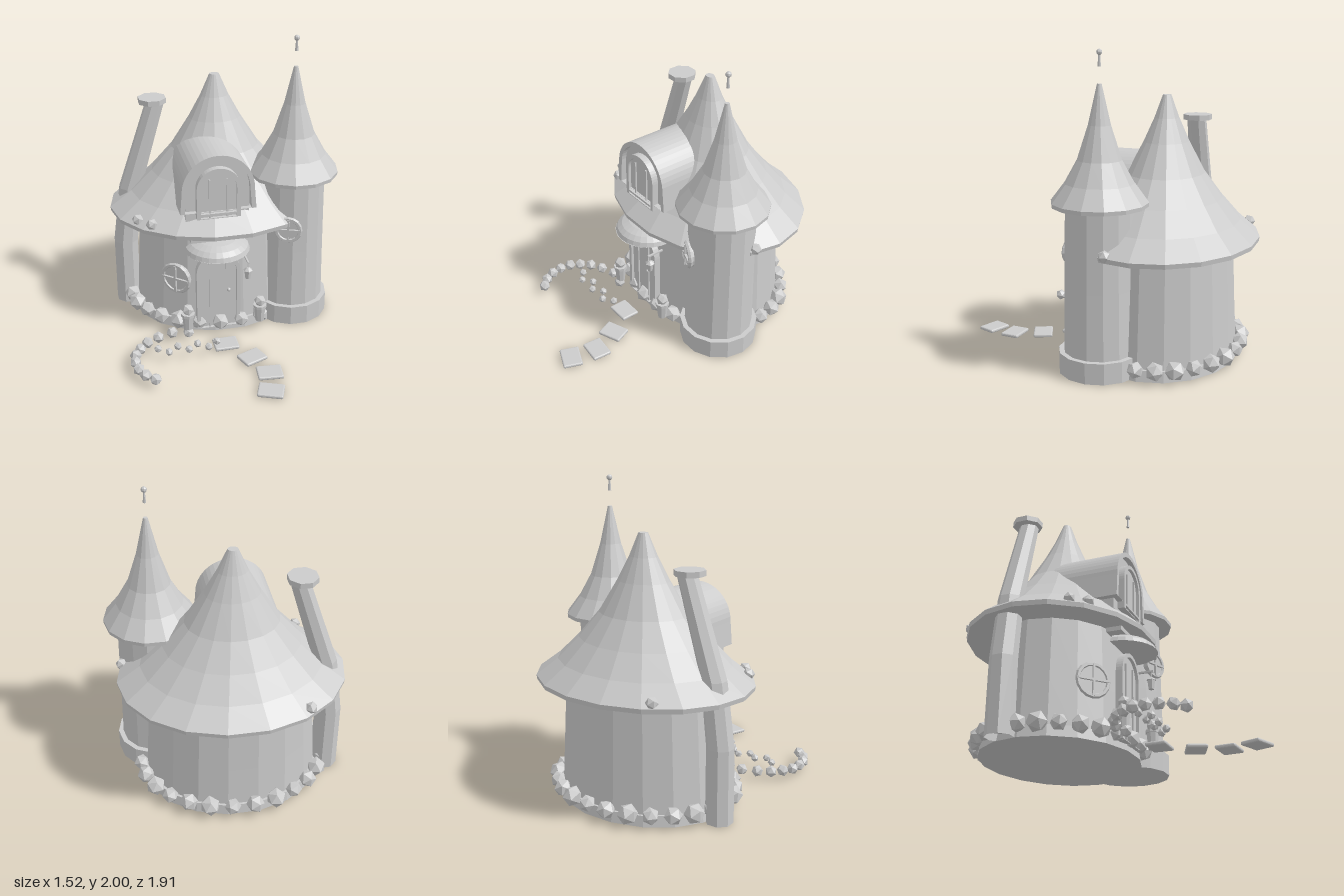
import * as THREE from 'three';
import { RoundedBoxGeometry } from 'three/addons/geometries/RoundedBoxGeometry.js';

const mat = new THREE.MeshStandardMaterial({ color: 0xcccccc, flatShading: true, side: THREE.DoubleSide });
const V = (x, y) => new THREE.Vector2(x, y);

function add(parent, name, geo, x = 0, y = 0, z = 0, ry = 0) {
  const m = new THREE.Mesh(geo, mat);
  m.name = name;
  m.position.set(x, y, z);
  m.rotation.y = ry;
  parent.add(m);
  return m;
}
const group = (parent, name, x = 0, y = 0, z = 0, ry = 0) => {
  const g = new THREE.Group();
  g.name = name;
  g.position.set(x, y, z);
  g.rotation.y = ry;
  parent.add(g);
  return g;
};
const box = (w, h, d) => new THREE.BoxGeometry(w, h, d);

// Faceted solid of revolution with a corner on each side
const turned = (pts, n) => new THREE.LatheGeometry(pts.map(p => V(...p)), n, Math.PI / n);

// Round-topped outline: half width, bottom, height where the curve starts
function arch(path, w, bottom, spring, flare = 0) {
  path.moveTo(-w - flare, bottom);
  path.lineTo(w + flare, bottom);
  path.lineTo(w, spring);
  path.absarc(0, spring, w, 0, Math.PI, false);
  path.closePath();
  return path;
}
const extrude = (shape, depth) =>
  new THREE.ExtrudeGeometry(shape, { depth, bevelEnabled: false, curveSegments: 12 });

// Arched leaf with a raised frame and two upright bars
function archedOpening(parent, name, w, bottom, spring, x, z) {
  const g = group(parent, name, x, 0, z);
  const frame = arch(new THREE.Shape(), w, bottom, spring);
  frame.holes.push(arch(new THREE.Path(), w - 0.025, bottom + 0.005, spring));
  add(g, name + 'Frame', extrude(frame, 0.045));
  add(g, name + 'Leaf', extrude(arch(new THREE.Shape(), w - 0.02, bottom, spring), 0.025));
  const h = spring + w * 0.6 - bottom - 0.02;
  for (const s of [-1, 1]) add(g, name + 'Bar', box(0.01, h, 0.012), s * 0.058, bottom + h / 2, 0.03);
  return g;
}

// Round window with a ring and crossed bars
function roundWindow(parent, name, x, y, z, ry, r) {
  const g = group(parent, name, x, y, z, ry);
  add(g, name + 'Ring', new THREE.TorusGeometry(r - 0.015, 0.016, 6, 16));
  const disc = add(g, name + 'Pane', new THREE.CylinderGeometry(r - 0.01, r - 0.01, 0.03, 16), 0, 0, -0.01);
  disc.rotation.x = Math.PI / 2;
  add(g, name + 'Bar', box(0.014, 2 * r - 0.03, 0.02), 0, 0, 0.01);
  add(g, name + 'Bar', box(2 * r - 0.03, 0.014, 0.02), 0, 0, 0.01);
}

// Bent octagonal stack from cross-sections [x, y, radius]
function stackGeometry(rings, n) {
  const pos = [], idx = [];
  rings.forEach(([x, y, r], j) => {
    for (let i = 0; i < n; i++) {
      const a = ((i + 0.5) / n) * Math.PI * 2;
      pos.push(x + r * Math.sin(a), y, r * Math.cos(a));
      if (j === 0) continue;
      const k = (i + 1) % n, b = (j - 1) * n, t = j * n;
      idx.push(b + i, b + k, t + k, b + i, t + k, t + i);
    }
  });
  const g = new THREE.BufferGeometry();
  g.setAttribute('position', new THREE.Float32BufferAttribute(pos, 3));
  g.setIndex(idx);
  g.computeVertexNormals();
  return g;
}

export function createModel() {
  const root = new THREE.Group();
  root.name = 'cottage';
  const bush = (parent, name, x, y, z, r, ry = 0) =>
    add(parent, name, new THREE.IcosahedronGeometry(r, 0), x, y, z, ry);

  // Oval house body and flared roof
  const house = group(root, 'house', -0.025, 0, -0.36);
  house.scale.z = 0.822;
  add(house, 'plinth', turned([[0, 0], [0.6, 0], [0.59, 0.07], [0, 0.07]], 18));
  add(house, 'walls', turned([[0.575, 0.02], [0.555, 0.35], [0.53, 0.78]], 18));
  add(house, 'mainRoof', turned([[0, 0.76], [0.73, 0.76], [0.735, 0.79], [0.585, 0.9], [0.44, 1.04],
    [0.3, 1.2], [0.175, 1.4], [0.095, 1.55], [0.032, 1.695], [0, 1.695]], 18));

  // Round tower with its pointed roof
  const tower = group(root, 'tower', 0.455, 0, -0.085);
  add(tower, 'towerBase', turned([[0, 0], [0.262, 0], [0.262, 0.135], [0, 0.135]], 14));
  add(tower, 'towerWall', turned([[0.23, 0.1], [0.222, 0.55], [0.215, 1.08]], 14));
  add(tower, 'towerRoof', turned([[0, 1.06], [0.3, 1.06], [0.302, 1.085], [0.215, 1.2], [0.138, 1.34],
    [0.07, 1.55], [0.014, 1.795], [0, 1.795]], 14));
  add(tower, 'finialStem', new THREE.CylinderGeometry(0.006, 0.011, 0.08, 6), 0, 1.935, 0);
  add(tower, 'finialBall', new THREE.SphereGeometry(0.019, 8, 6), 0, 1.98, 0);
  roundWindow(tower, 'towerWindow', -0.085, 0.73, 0.215, -0.38, 0.095);

  // Leaning chimney
  const chimney = group(root, 'chimney', 0, 0, -0.455);
  add(chimney, 'chimneyStack', stackGeometry([[-0.655, 0, 0.088], [-0.655, 0.48, 0.086],
    [-0.605, 0.89, 0.08], [-0.412, 1.5, 0.064]], 8));
  add(chimney, 'chimneyCap', new THREE.CylinderGeometry(0.097, 0.097, 0.035, 8, 1, false, Math.PI / 8), -0.432, 1.51, 0);

  // Barrel dormer
  const dormer = group(root, 'dormer', -0.107);
  const shell = arch(new THREE.Shape(), 0.24, 0.93, 1.08, 0.012);
  shell.holes.push(arch(new THREE.Path(), 0.21, 0.931, 1.08, 0.012));
  add(dormer, 'dormerRoof', extrude(shell, 0.505), 0, 0, -0.36);
  add(dormer, 'dormerWall', extrude(arch(new THREE.Shape(), 0.212, 0.86, 1.08), 0.46), 0, 0, -0.35);
  const win = archedOpening(dormer, 'dormerWindow', 0.145, 0.885, 1.09, 0, 0.11);
  add(win, 'dormerSill', box(0.24, 0.014, 0.025), 0, 0.915, 0.035);

  // Front door, canopy and ledge
  const entry = group(root, 'entry', -0.11);
  const door = archedOpening(entry, 'door', 0.15, 0.04, 0.47, 0, 0.1);
  add(door, 'doorKnob', new THREE.SphereGeometry(0.013, 8, 6), 0.07, 0.33, 0.045);
  const hood = add(entry, 'canopy', new THREE.SphereGeometry(0.22, 14, 5, 0, Math.PI, 0, Math.PI / 2), 0, 0.635, 0.09);
  hood.scale.set(1, 0.42, 0.98);
  const soffit = add(entry, 'canopyUnderside', new THREE.CircleGeometry(0.22, 14, 0, Math.PI), 0, 0.635, 0.09);
  soffit.rotation.x = Math.PI / 2;
  add(entry, 'ledge', box(0.37, 0.028, 0.1), 0, 0.73, 0.1);
  add(entry, 'ledgeTop', box(0.3, 0.012, 0.08), 0, 0.752, 0.1);

  // Hanging lantern
  const lantern = group(root, 'lantern', 0.075, 0, 0.21);
  add(lantern, 'lanternBracket', box(0.012, 0.012, 0.12), 0, 0.565, -0.045);
  add(lantern, 'lanternChain', box(0.006, 0.05, 0.006), 0, 0.54, 0);
  add(lantern, 'lanternTop', new THREE.CylinderGeometry(0.01, 0.032, 0.02, 6), 0, 0.515, 0);
  add(lantern, 'lanternBody', new THREE.CylinderGeometry(0.026, 0.018, 0.062, 6), 0, 0.475, 0);

  roundWindow(root, 'wallWindow', -0.375, 0.38, 0.0, -0.72, 0.115);

  // Potted shrubs on either side of the door
  for (const x of [-0.33, 0.17]) {
    add(root, 'pot', new THREE.CylinderGeometry(0.042, 0.03, 0.12, 8), x, 0.14, 0.18);
    add(root, 'potRim', new THREE.CylinderGeometry(0.047, 0.047, 0.02, 8), x, 0.195, 0.18);
    bush(root, 'pottedShrub', x, 0.232, 0.18, 0.042);
  }

  // Bushes around the walls, leaving room for the tower
  const hedge = group(root, 'wallBushes', -0.025, 0.08, -0.36);
  for (let i = 0; i < 26; i++) {
    const a = ((i + 0.5) / 26) * Math.PI * 2;
    const x = 0.61 * Math.sin(a), z = 0.5 * Math.cos(a);
    if (Math.hypot(x - 0.48, z - 0.275) < 0.25) continue;
    bush(hedge, 'wallBush', x, 0, z, 0.06 + 0.006 * (i % 3 - 1), i);
  }

  // Curved garden border
  const border = [[-0.33, 0.19], [-0.44, 0.17], [-0.54, 0.205], [-0.62, 0.25], [-0.675, 0.31],
    [-0.715, 0.375], [-0.725, 0.45], [-0.715, 0.525], [-0.68, 0.595], [-0.625, 0.65]];
  border.forEach(([x, z], i) => bush(root, 'borderBush', x, 0.06, z, 0.04, i * 0.7));

  // Small zigzag flower bed
  for (let i = 0; i < 7; i++) bush(root, 'flower', -0.565 + 0.066 * i, 0.075, i % 2 ? 0.405 : 0.355, 0.027, i);

  // Moss clumps along the eaves
  for (const [x, y, z] of [[-0.43, 0.82, -0.83], [-0.61, 0.825, -0.06], [-0.53, 0.825, 0.03], [0.665, 0.8, -0.19]])
    bush(root, 'moss', x, y, z, 0.04, x * 5);

  // Stepping stones
  for (const [x, z, ry] of [[-0.1, 0.315, 0], [0.035, 0.5, 0.38], [0.105, 0.685, -0.09], [0.065, 0.865, -0.38]])
    add(root, 'steppingStone', new RoundedBoxGeometry(0.165, 0.024, 0.13, 2, 0.01), x, 0.014, z, ry);

  return root;
}
